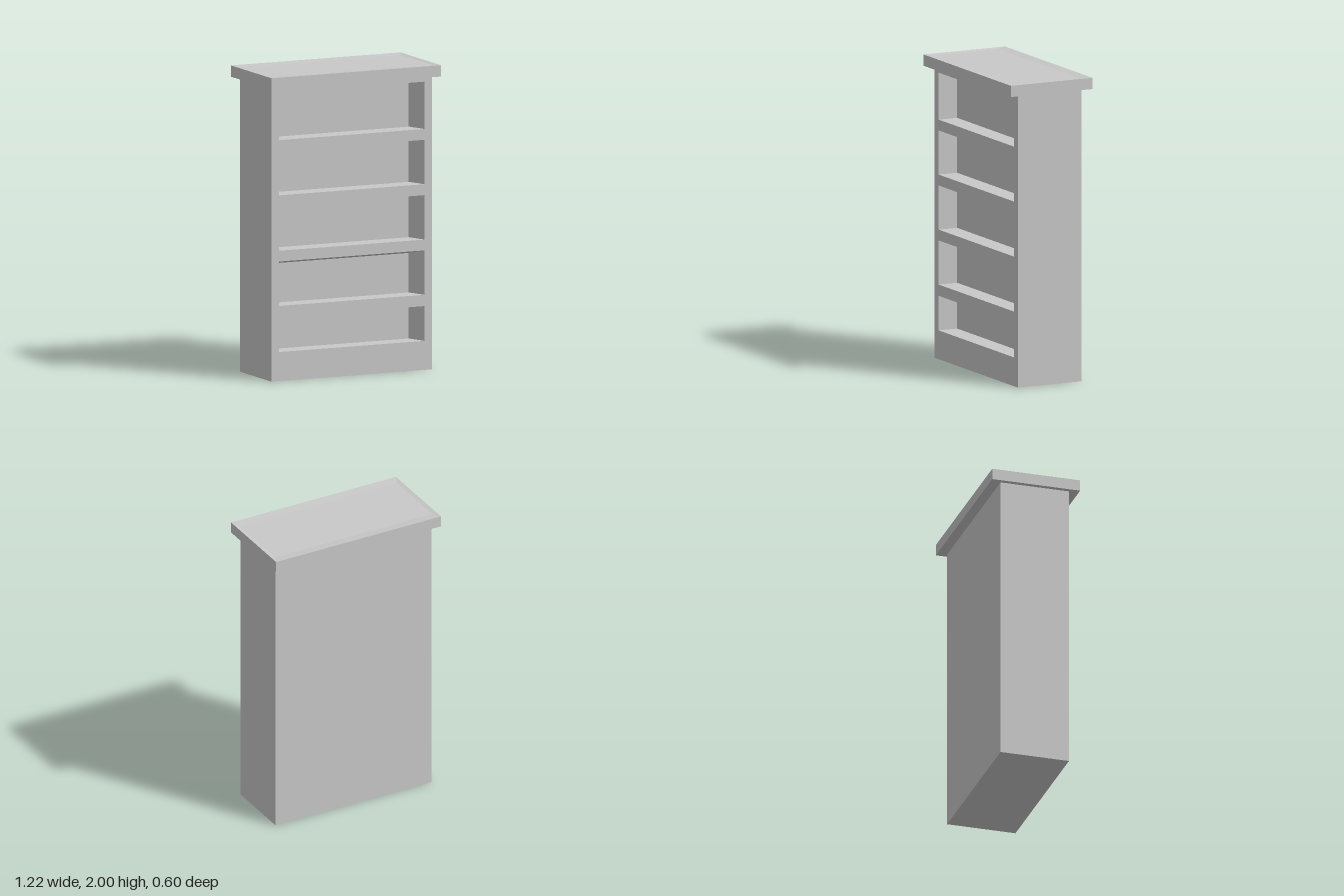
import * as THREE from 'three';

// Four corners, anticlockwise seen from +z
const upright = (x0, x1, y0, y1, z) => [[x0, y0, z], [x1, y0, z], [x1, y1, z], [x0, y1, z]];
// Four corners, anticlockwise seen from +y
const level = (w, d, y) => [[-w, y, d], [w, y, d], [w, y, -d], [-w, y, -d]];

// Flat-faced skin through four-cornered rings, with optional end faces
function loft(rings, startCap, endCap) {
  const pos = [];
  const quad = (a, b, c, d) => pos.push(...a, ...b, ...c, ...a, ...c, ...d);
  if (startCap) quad(...[...rings[0]].reverse());
  for (let r = 0; r < rings.length - 1; r++) {
    const a = rings[r], b = rings[r + 1];
    for (let i = 0; i < 4; i++) {
      const j = (i + 1) % 4;
      quad(a[i], a[j], b[j], b[i]);
    }
  }
  if (endCap) quad(...rings[rings.length - 1]);
  const geo = new THREE.BufferGeometry();
  geo.setAttribute('position', new THREE.Float32BufferAttribute(pos, 3));
  geo.computeVertexNormals();
  return geo;
}

export function createModel() {
  const group = new THREE.Group();
  const grey = new THREE.MeshStandardMaterial({ color: 0xc8c8c8 });
  grey.name = 'light grey';
  const add = (name, geo) => {
    const mesh = new THREE.Mesh(geo, grey);
    mesh.name = name;
    group.add(mesh);
  };

  const W = 0.58, D = 0.232, H = 1.926;   // carcass half width, half depth, height
  const x0 = -0.526, x1 = 0.525;          // shelf openings
  const backX1 = 0.477, backZ = D - 0.135; // narrower back of each bay
  // bottom, top at the front, top at the back
  const bays = [
    [0.19, 0.418, 0.418],
    [0.492, 0.783, 0.751],
    [0.854, 1.145, 1.145],
    [1.217, 1.508, 1.497],
    [1.579, 1.889, 1.889],
  ];

  // Carcass: sides, bottom, top and back
  add('carcass', loft([upright(-W, W, 0, H, -D), upright(-W, W, 0, H, D)], true, false));

  // Front frame with one opening per bay
  const outline = (r) => r.map(([x, y]) => new THREE.Vector2(x, y));
  const frame = new THREE.Shape(outline(upright(-W, W, 0, H, 0)));
  for (const [y0, y1] of bays) frame.holes.push(new THREE.Path(outline(upright(x0, x1, y0, y1, 0))));
  add('frontFrame', new THREE.ShapeGeometry(frame).translate(0, 0, D));

  // Recessed bays: floor, walls, ceiling and back panel
  bays.forEach(([y0, y1, backY1], i) => add('shelfBay' + (i + 1), loft([
    upright(x0, x1, y0, y1, D),
    upright(x0 + 0.002, backX1, y0, backY1, backZ),
  ], false, true)));

  // Overhanging top board with a slightly dished upper face
  add('topBoard', loft([
    level(0.612, 0.298, H),
    level(0.612, 0.298, 2),
    level(0.583, D, 1.994),
  ], true, true));

  return group;
}
